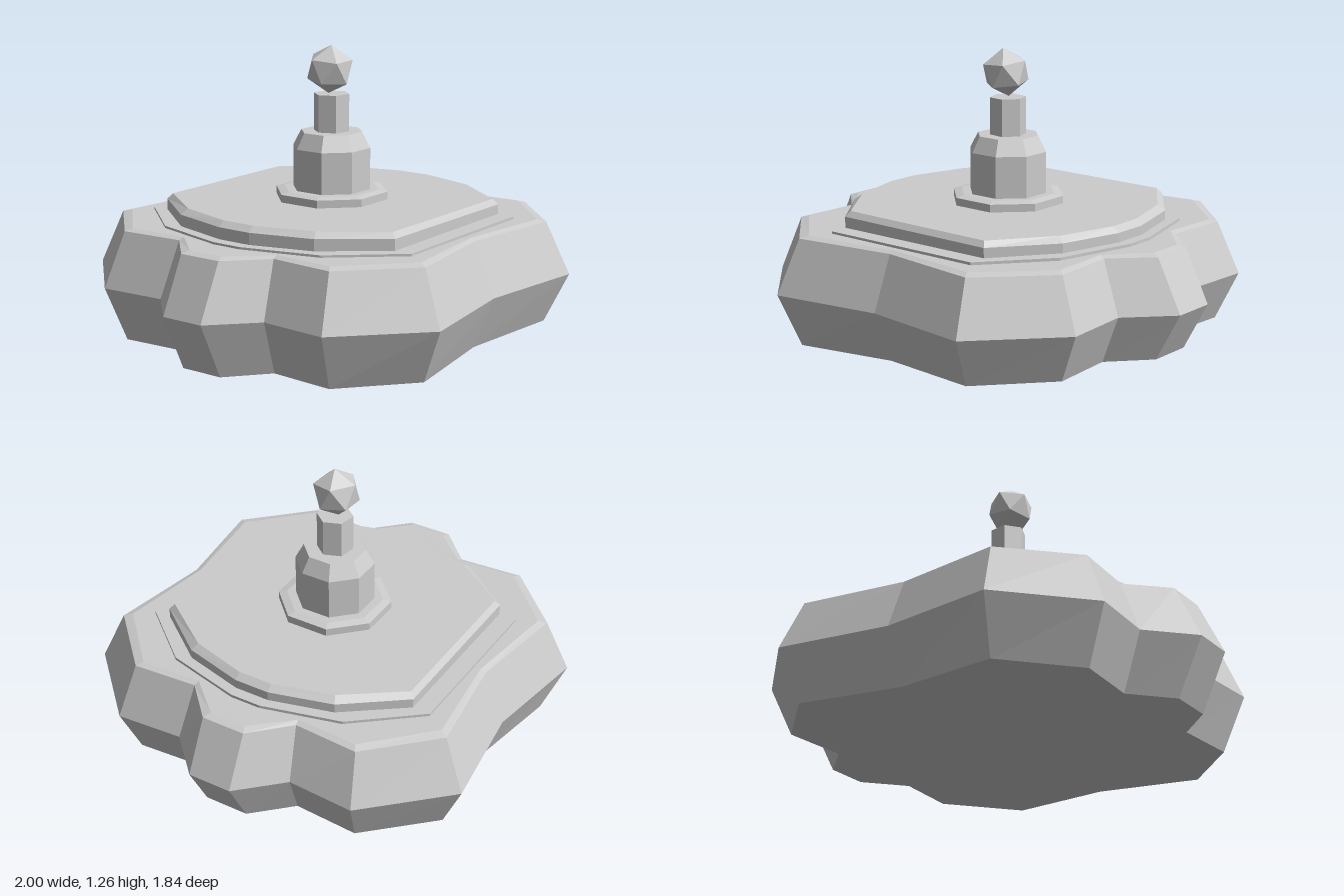
import * as THREE from 'three';

const stone = new THREE.MeshStandardMaterial({ color: 0xcccccc });
stone.name = 'pale grey';
stone.flatShading = true;

// Mirror a quarter outline (from the x axis round to the z axis) into a full loop.
function mirrorOutline(quarter) {
  const back = quarter.filter(([x]) => x > 0).reverse().map(([x, z]) => [-x, z]);
  const half = [...quarter, ...back];
  return [...half, ...half.map(([x, z]) => [-x, -z])];
}

// A regular polygon outline.
function polygon(sides, radius, turn = 0, cx = 0, cz = 0) {
  return Array.from({ length: sides }, (_, i) => {
    const a = turn + (i / sides) * Math.PI * 2;
    return [cx + radius * Math.cos(a), cz + radius * Math.sin(a)];
  });
}

// Stack outlines into a closed solid; each layer is [outline, height, slope along x].
function loft(name, layers) {
  const rings = layers.map(([outline, y, slope = 0]) =>
    outline.map(([x, z]) => [x, y + slope * x, z]));
  const pos = [];
  const tri = (...corners) => corners.forEach((c) => pos.push(...c));
  const n = rings[0].length;
  const last = rings.length - 1;
  const bottom = [0, layers[0][1], 0];
  const top = [0, layers[last][1], 0];
  for (let i = 0; i < n; i++) {
    const j = (i + 1) % n;
    for (let k = 0; k < last; k++) {
      tri(rings[k][i], rings[k + 1][i], rings[k][j]);
      tri(rings[k + 1][i], rings[k + 1][j], rings[k][j]);
    }
    tri(bottom, rings[0][i], rings[0][j]);
    tri(top, rings[last][j], rings[last][i]);
  }
  const geometry = new THREE.BufferGeometry();
  geometry.setAttribute('position', new THREE.Float32BufferAttribute(pos, 3));
  geometry.computeVertexNormals();
  const mesh = new THREE.Mesh(geometry, stone);
  mesh.name = name;
  return mesh;
}

export function createModel() {
  const group = new THREE.Group();
  group.name = 'lobedPedestal';

  // Lobed base, widest at mid height, with a slightly tilted underside
  const wide = mirrorOutline([[1, 0.1], [0.82, 0.28], [0.84, 0.585], [0.51, 0.92], [0, 0.85]]);
  const rim = mirrorOutline([[0.885, 0.1], [0.725, 0.255], [0.745, 0.55], [0.472, 0.82], [0, 0.755]]);
  const lip = mirrorOutline([[0.85, 0.085], [0.7, 0.25], [0.715, 0.53], [0.45, 0.785], [0, 0.73]]);
  group.add(loft('lobedBase', [
    [rim, 0.03, 0.034], [wide, 0.26, 0.013], [rim, 0.493, 0.006], [lip, 0.503, 0.006],
  ]));

  // Two stepped plates
  const lower = mirrorOutline([[0.72, 0.07], [0.63, 0.42], [0.395, 0.7]]);
  group.add(loft('lowerPlate', [[lower, 0.48], [lower, 0.514, 0.008]]));
  const upper = mirrorOutline([[0.67, 0.08], [0.595, 0.36], [0.395, 0.62]]);
  const upperTop = mirrorOutline([[0.64, 0.08], [0.565, 0.345], [0.38, 0.6]]);
  group.add(loft('upperPlate', [[upper, 0.49], [upper, 0.56], [upperTop, 0.584]]));

  // Octagonal collar
  const turn = Math.PI / 8;
  const collar = polygon(8, 0.253, turn);
  const collarTop = polygon(8, 0.215, turn);
  group.add(loft('collar', [[collar, 0.57], [collar, 0.618], [collarTop, 0.626]]));

  // Post with a chamfered shoulder
  const post = polygon(8, 0.175, turn);
  group.add(loft('post', [[post, 0.6], [post, 0.81], [polygon(8, 0.138, turn), 0.88]]));

  // Neck
  group.add(loft('neck', [
    [polygon(6, 0.08, 0.15), 0.87], [polygon(6, 0.08, 0.15), 1.045],
  ]));

  // Faceted finial ball
  const ball = new THREE.Mesh(new THREE.IcosahedronGeometry(0.108, 0), stone);
  ball.name = 'finialBall';
  ball.position.set(-0.012, 1.153, 0);
  ball.rotation.set(0.1, 0.3, -0.5);
  group.add(ball);

  return group;
}
